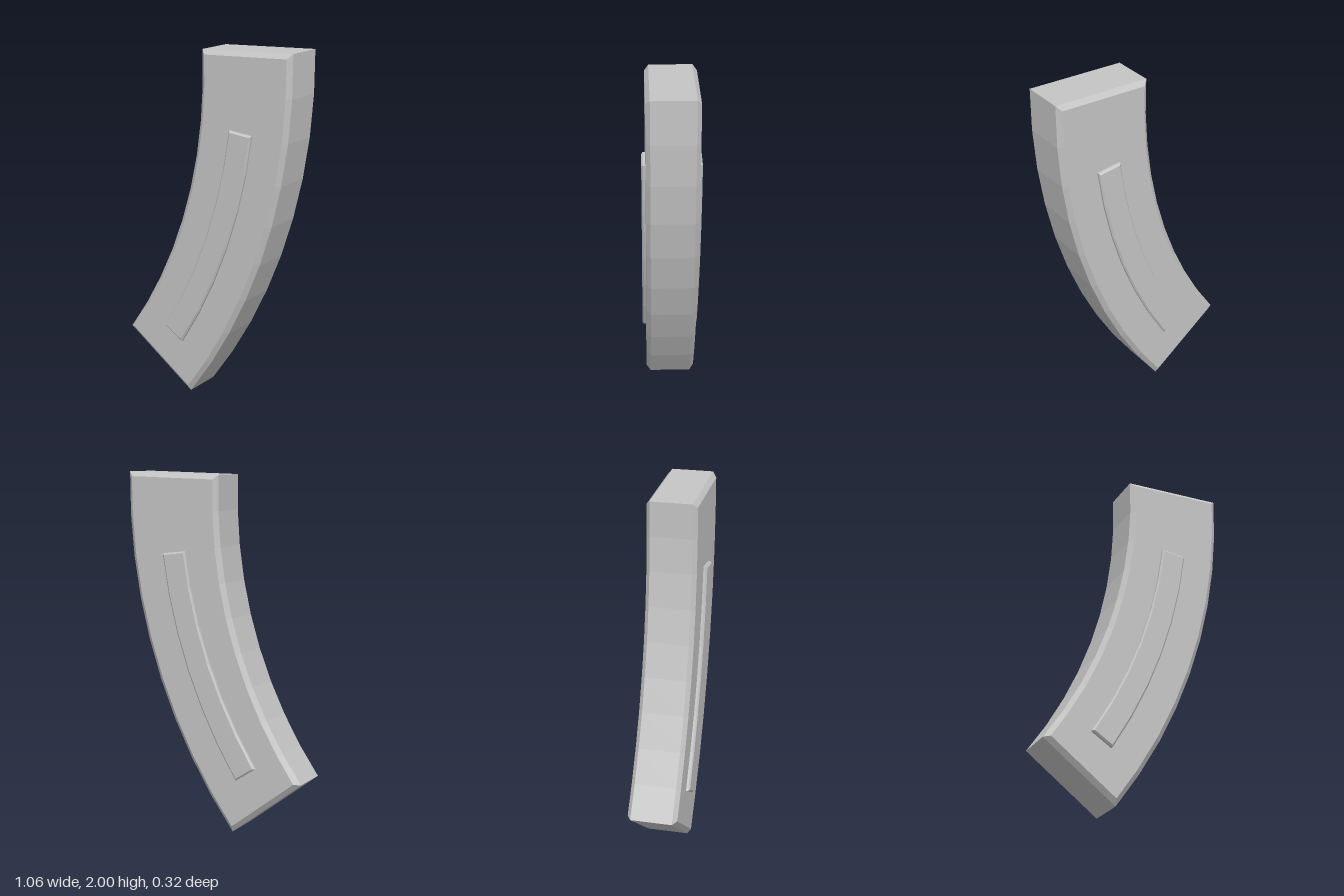
import * as THREE from 'three';

// Centre of the bend; angles run from the bottom end to the top end.
const CX = -2.631, CY = 1.917, SEGMENTS = 9;
const BOTTOM = THREE.MathUtils.degToRad(-37.3), TOP = THREE.MathUtils.degToRad(1.5);
const angleAt = (i) => BOTTOM + (TOP - BOTTOM) * i / SEGMENTS;

// Curved slab between two radii, stacked from [z, inset] outlines and closed front and back.
function bentSlab(first, last, innerAt, outer, layers) {
  const n = last - first + 1;
  const rings = layers.map(([z, inset]) => {
    const point = (r, i) => {
      let a = angleAt(i);
      if (i === first) a += inset / r;
      if (i === last) a -= inset / r;
      return [CX + r * Math.cos(a), CY + r * Math.sin(a), z];
    };
    const ring = [];
    for (let i = first; i <= last; i++) ring.push(point(outer - inset, i));
    for (let i = last; i >= first; i--) ring.push(point(innerAt(i) + inset, i));
    return ring;
  });
  const positions = [];
  const quad = (a, b, c, d) => positions.push(...a, ...b, ...c, ...a, ...c, ...d);

  // Edge walls and bevels
  const count = 2 * n;
  for (let k = 0; k < rings.length - 1; k++) {
    for (let i = 0; i < count; i++) {
      const j = (i + 1) % count;
      quad(rings[k][i], rings[k][j], rings[k + 1][j], rings[k + 1][i]);
    }
  }
  // Flat faces
  const back = rings[0], front = rings[rings.length - 1];
  for (let i = 0; i < n - 1; i++) {
    const p = count - 1 - i;
    quad(front[i], front[i + 1], front[p - 1], front[p]);
    quad(back[i], back[p], back[p - 1], back[i + 1]);
  }
  const geometry = new THREE.BufferGeometry();
  geometry.setAttribute('position', new THREE.Float32BufferAttribute(positions, 3));
  geometry.computeVertexNormals();
  return geometry;
}

export function createModel() {
  const group = new THREE.Group();
  group.name = 'curvedMagazine';
  const grey = new THREE.MeshStandardMaterial({ color: 0xc5c5c5, flatShading: true });
  grey.name = 'lightGrey';
  const add = (name, geometry) => {
    const mesh = new THREE.Mesh(geometry, grey);
    mesh.name = name;
    group.add(mesh);
  };

  // Bevelled body, slightly wider at the top
  add('body', bentSlab(0, SEGMENTS, (i) => 2.638 - 0.037 * i / SEGMENTS, 3.16,
    [[-0.14, 0.026], [-0.117, 0], [0.117, 0], [0.14, 0.026]]));

  // Raised rib on each face
  const ribInner = () => 2.814;
  add('frontRib', bentSlab(1, 7, ribInner, 2.954, [[0.13, 0], [0.153, 0], [0.161, 0.009]]));
  add('backRib', bentSlab(1, 7, ribInner, 2.954, [[-0.161, 0.009], [-0.153, 0], [-0.13, 0]]));
  return group;
}
